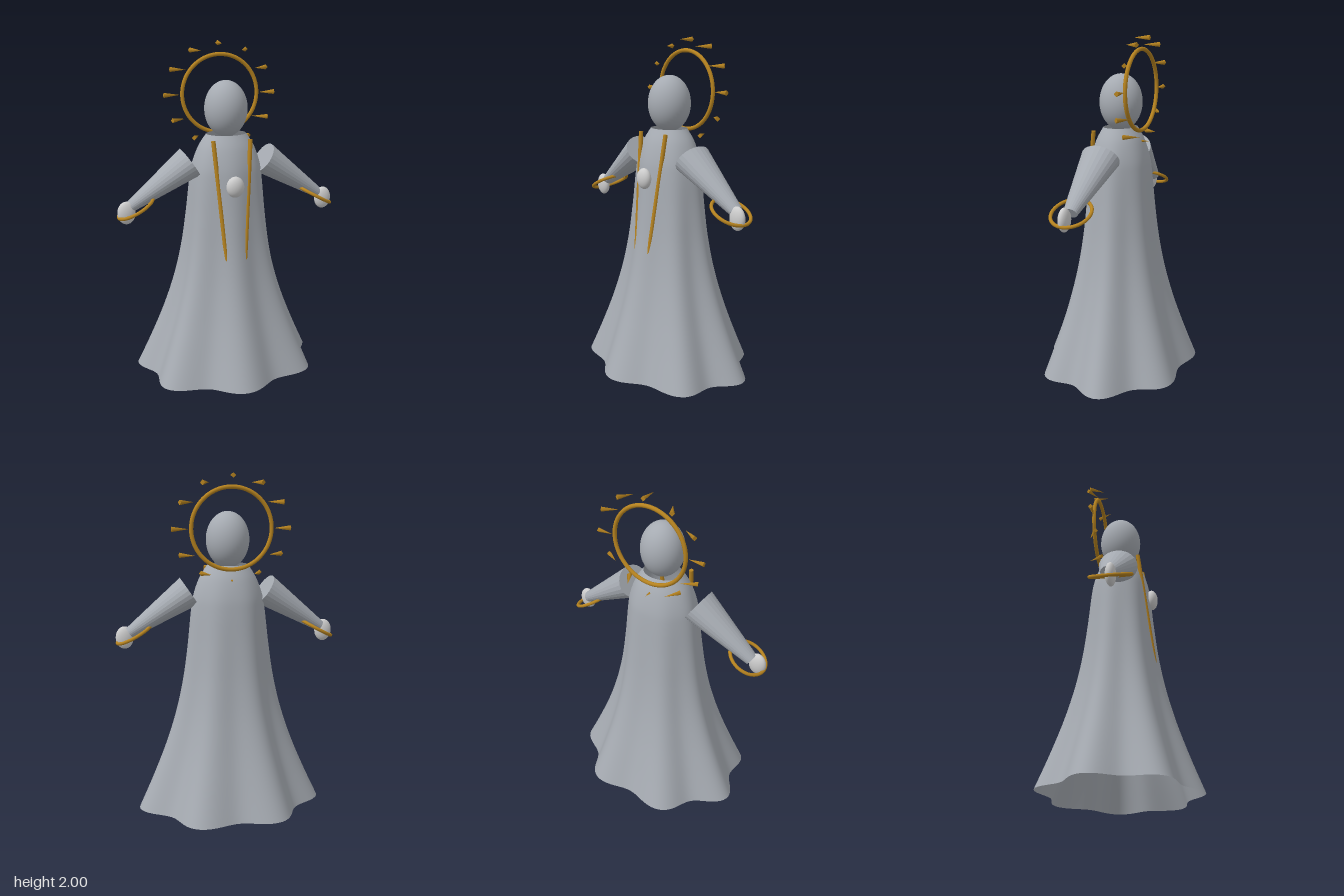
import * as THREE from 'three';
import { mergeVertices } from 'three/addons/utils/BufferGeometryUtils.js';

const robeGrey = new THREE.MeshStandardMaterial({ color: 0xa6abb2, side: THREE.DoubleSide });
robeGrey.name = 'robeGrey';
const sleeveGrey = new THREE.MeshStandardMaterial({ color: 0xa6abb2, flatShading: true });
sleeveGrey.name = 'sleeveGrey';
const paleStone = new THREE.MeshStandardMaterial({ color: 0xcccccc });
paleStone.name = 'paleStone';
const gold = new THREE.MeshStandardMaterial({ color: 0xb5821f });
gold.name = 'gold';

function add(parent, name, geometry, material, position = [0, 0, 0]) {
  const mesh = new THREE.Mesh(geometry, material);
  mesh.name = name;
  mesh.position.set(...position);
  parent.add(mesh);
  return mesh;
}

function ellipsoid(rx, ry, rz) {
  return new THREE.SphereGeometry(1, 40, 28).scale(rx, ry, rz);
}

// Tapered rod from point a to point b, optionally widened along z
function rod(parent, name, a, b, ra, rb, sides, material, zScale = 1) {
  const from = new THREE.Vector3(...a), to = new THREE.Vector3(...b);
  const dir = to.clone().sub(from);
  const mesh = add(parent, name, new THREE.CylinderGeometry(rb, ra, dir.length(), sides).scale(1, 1, zScale), material);
  mesh.position.copy(from).add(to).multiplyScalar(0.5);
  mesh.quaternion.setFromUnitVectors(new THREE.Vector3(0, 1, 0), dir.normalize());
  return mesh;
}

// Oval bell with seven folds that fade towards the collar
function robeGeometry() {
  const top = 1.475;
  const profile = new THREE.SplineCurve([
    [0.53, 0], [0.447, 0.2], [0.372, 0.4], [0.312, 0.6], [0.27, 0.8], [0.243, 1],
    [0.222, 1.2], [0.205, 1.3], [0.168, 1.4], [0.12, top],
  ].map(([r, y]) => new THREE.Vector2(r, y)));
  let geometry = new THREE.LatheGeometry(profile.getPoints(54), 126);
  const p = geometry.attributes.position;
  for (let i = 0; i < p.count; i++) {
    const x = p.getX(i), y = p.getY(i), z = p.getZ(i);
    const fold = 1 + 0.082 * (1 - y / top) * Math.cos(7 * Math.atan2(x, z));
    p.setXYZ(i, x * fold, y, z * fold * 0.816 - 0.025);
  }
  geometry.deleteAttribute('uv');
  geometry.deleteAttribute('normal');
  geometry = mergeVertices(geometry, 1e-5);
  geometry.computeVertexNormals();
  return geometry;
}

export function createModel() {
  const model = new THREE.Group();
  model.name = 'robedFigure';

  add(model, 'robe', robeGeometry(), robeGrey);
  add(model, 'head', ellipsoid(0.128, 0.165, 0.127), robeGrey, [0, 1.62, -0.028]);
  add(model, 'chestGem', ellipsoid(0.053, 0.062, 0.036), paleStone, [0, 1.192, 0.168]);

  for (const side of [1, -1]) {
    const label = side > 0 ? 'left' : 'right';
    rod(model, label + 'Sleeve', [side * 0.228, 1.318, -0.005], [side * 0.586, 1.077, 0],
      0.096, 0.034, 24, sleeveGrey, 1.23);
    add(model, label + 'Hand', ellipsoid(0.053, 0.068, 0.03), paleStone, [side * 0.615, 1.045, 0.02]);

    // Tilted bracelet around the wrist
    const bracelet = add(model, label + 'Bracelet',
      new THREE.TorusGeometry(0.115, 0.01, 12, 56).rotateX(Math.PI / 2), gold, [side * 0.558, 1.07, 0.01]);
    bracelet.rotation.z = -side * 0.49;

    // Long cord that sinks into the robe and converges near the hem
    rod(model, label + 'Cord', [side * 0.112, 1.455, 0.098], [side * 0.018, 0.22, 0.25],
      0.013, 0.013, 10, gold);
  }

  // Halo ring with twelve spikes turned in the horizontal plane
  const halo = new THREE.Group();
  halo.name = 'halo';
  halo.position.set(0, 1.692, -0.158);
  model.add(halo);
  add(halo, 'haloRing', new THREE.TorusGeometry(0.232, 0.012, 12, 72), gold);
  const spikeGeometry = new THREE.ConeGeometry(0.015, 0.098, 4);
  for (let i = 0; i < 12; i++) {
    const a = i * Math.PI / 6;
    const spike = add(halo, 'haloSpike', spikeGeometry, gold, [0.295 * Math.sin(a), 0.295 * Math.cos(a), 0]);
    spike.rotation.set(Math.PI / 2, 0, a);
  }
  return model;
}
